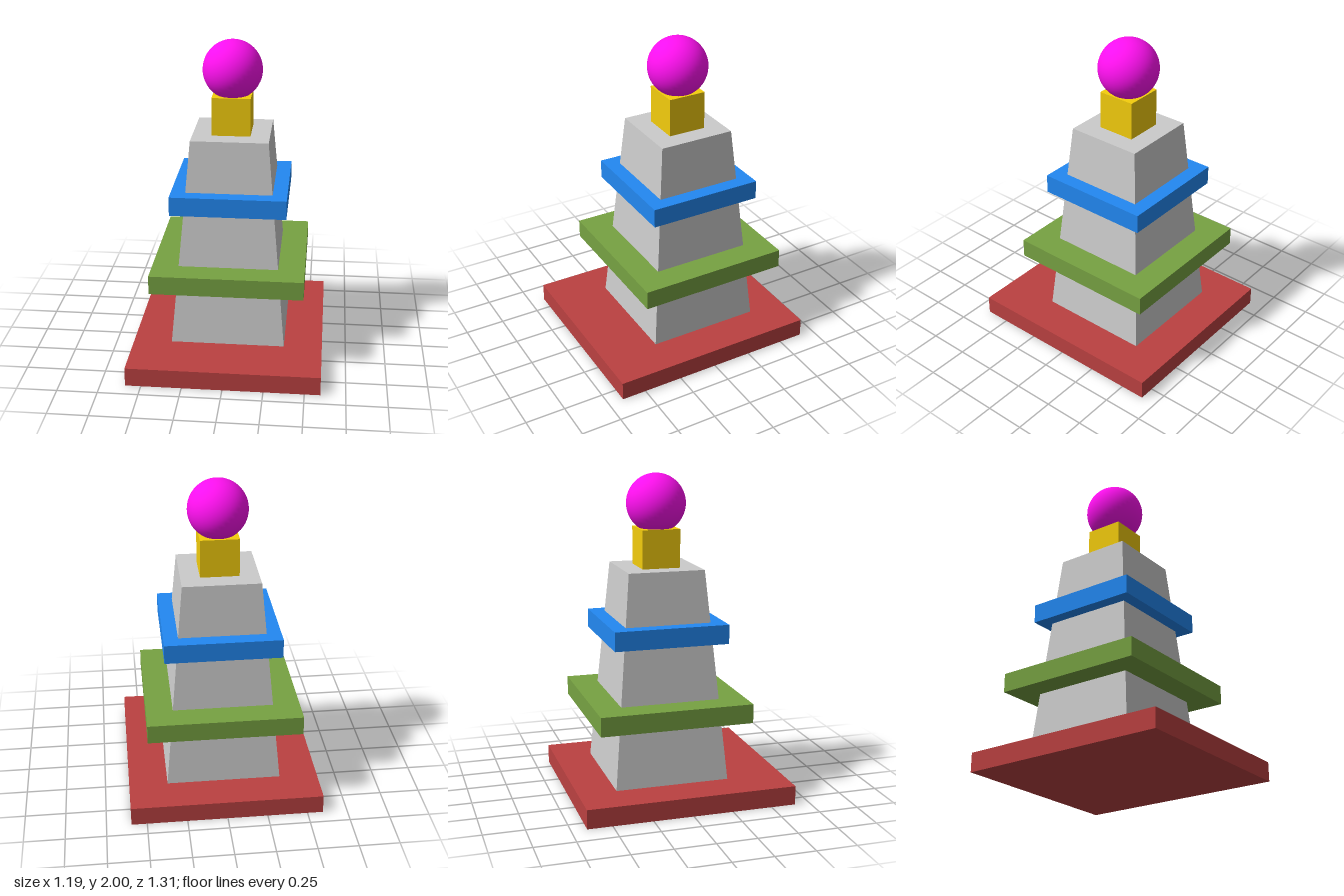
import * as THREE from 'three';

const mat = (color, flatShading = false) => new THREE.MeshStandardMaterial({ color, flatShading });

export function createModel() {
  const model = new THREE.Group();
  const add = (name, geometry, material, y, z, parent) => {
    const mesh = new THREE.Mesh(geometry, material);
    mesh.name = name;
    mesh.position.set(0, y, z);
    parent.add(mesh);
  };

  // Ground slab, slightly deeper than wide
  add('base', new THREE.BoxGeometry(1.194, 0.119, 1.31), mat(0xbb4141), 0.0595, 0, model);

  // Everything above stands a little behind the middle of the slab
  const tower = new THREE.Group();
  tower.name = 'tower';
  tower.position.z = -0.06;
  model.add(tower);

  // Tapered square shaft
  const shaft = new THREE.CylinderGeometry(0.238 * Math.SQRT2, 0.357 * Math.SQRT2, 1.31, 4);
  shaft.rotateY(Math.PI / 4);
  add('shaft', shaft, mat(0xcccccc, true), 0.774, 0, tower);

  // Square platforms around the shaft
  add('lowerPlatform', new THREE.BoxGeometry(0.952, 0.119, 0.952), mat(0x77a242), 0.57, 0, tower);
  add('upperPlatform', new THREE.BoxGeometry(0.714, 0.119, 0.714), mat(0x2288f2), 1.047, 0, tower);

  // Block and ball on top
  add('topBlock', new THREE.BoxGeometry(0.238, 0.238, 0.238), mat(0xf4cd0d), 1.548, 0, tower);
  add('ball', new THREE.SphereGeometry(0.1835, 40, 24), mat(0xff10f0), 1.8165, 0, tower);

  return model;
}
